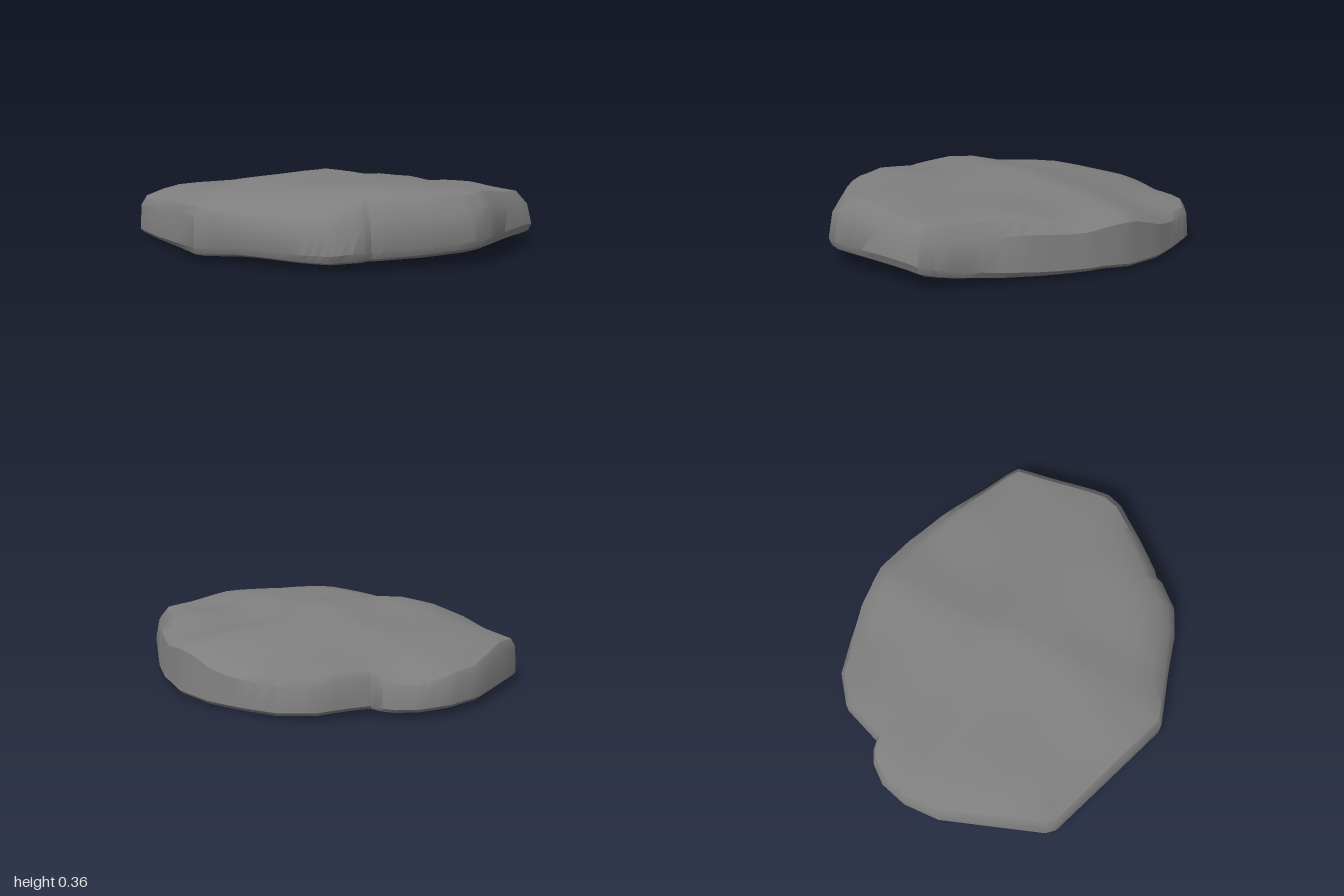
import * as THREE from 'three';
import { toCreasedNormals } from 'three/addons/utils/BufferGeometryUtils.js';

const { lerp, smoothstep, clamp } = THREE.MathUtils;

// Rim of the slab, clockwise from above: x, z
const RIM = [
  [0.08, -1], [0.23, -0.97], [0.32, -0.91], [0.35, -0.86], [0.36, -0.8], [0.6, -0.73],
  [0.72, -0.6], [0.78, -0.43], [0.84, -0.23], [0.86, 0], [0.82, 0.22], [0.74, 0.44],
  [0.63, 0.68], [0.55, 0.86], [0.51, 0.92], [0.25, 0.96], [-0.03, 1], [-0.12, 0.98],
  [-0.3, 0.86], [-0.46, 0.735], [-0.49, 0.7], [-0.53, 0.69], [-0.65, 0.6], [-0.71, 0.48],
  [-0.78, 0.25], [-0.87, -0.03], [-0.65, -0.73], [-0.61, -0.77], [-0.11, -0.98],
];
// Height profiles across the slab: [position, y]
const TOP_X = [[-0.87, 0.24], [-0.48, 0.345], [0.05, 0.345], [0.3, 0.295], [0.5, 0.285], [0.86, 0.225]];
const TOP_Z = [[-1, 0.155], [-0.8, 0.235], [-0.35, 0.29], [-0.05, 0.355], [0.2, 0.335], [0.5, 0.345], [1, 0.32]];
const LOW_Z = [[-1, 0.02], [-0.3, 0.015], [0, 0.015], [0.15, 0.03], [0.6, 0.025], [0.8, 0.04], [1, 0.07]];

// Reads a profile along straight runs
function linear(table, v) {
  const i = Math.max(1, table.findIndex(([p], k) => v <= p || k === table.length - 1));
  const [a, ya] = table[i - 1], [b, yb] = table[i];
  return lerp(ya, yb, clamp((v - a) / (b - a), 0, 1));
}
// The same with its corners eased
const lookup = (table, v) => (linear(table, v - 0.05) + 2 * linear(table, v) + linear(table, v + 0.05)) / 4;

// Gentle weathered undulation
const lumps = (x, z) => 0.005 * Math.sin(7 * x + 5 * z + 1) + 0.004 * Math.sin(11 * z - 6 * x);
// The top falls away towards the front right corner
const slump = (x, z) => 0.06 * smoothstep(0.6 * z - 0.8 * x, 0.6, 0.85);
const topY = (x, z) => lookup(TOP_X, x) + lookup(TOP_Z, z) - 0.345 + lumps(x, z) - slump(x, z);
const bottomY = (x, z) => lookup(LOW_Z, z) - 0.016 * smoothstep(x, 0.4, 0.8) + 0.3 * lumps(x, z);

// Side wall: foot and head heights, and the width of the upper bevel
const footY = (x, z) => bottomY(x, z) + 0.01 + 0.03 * smoothstep(z - 0.5 * x, -0.3, 0.7);
const headY = (x, z) => topY(x, z) - 0.03 - 0.03 * smoothstep(z, 0, 0.8);
const bevel = (x, z) => 0.03 + 0.05 * smoothstep(0.5 * x + z, -0.4, 0.6);

function inward(x, z, d) {
  const s = 1 - d / Math.hypot(x, z);
  return [x * s, z * s];
}

function slabGeometry() {
  // Subdivide the rim
  const rim = [], steps = 3;
  RIM.forEach(([x, z], i) => {
    const [qx, qz] = RIM[(i + 1) % RIM.length];
    for (let s = 0; s < steps; s++) rim.push([lerp(x, qx, s / steps), lerp(z, qz, s / steps)]);
  });
  const n = rim.length, pos = [], index = [];
  const addRing = (fn) => rim.forEach(([x, z]) => pos.push(...fn(x, z)));
  const inner = [0.02, 0.15, 0.3, 0.45, 0.6, 0.75, 0.87];

  // Underside, from the middle outward
  for (const s of inner) addRing((x, z) => [x * s, bottomY(x * s, z * s), z * s]);
  addRing((x, z) => {
    const [a, b] = inward(x, z, 0.06);
    return [a, bottomY(a, b), b];
  });
  // Side wall: lower bevel, foot, head
  addRing((x, z) => {
    const [a, b] = inward(x, z, 0.015);
    return [a, lerp(bottomY(a, b), footY(x, z), 0.4), b];
  });
  addRing((x, z) => [x, footY(x, z) + 0.01, z]);
  addRing((x, z) => {
    const [a, b] = inward(x, z, bevel(x, z) * 0.3);
    return [a, headY(x, z), b];
  });
  // Top, from the edge to the middle
  addRing((x, z) => {
    const [a, b] = inward(x, z, bevel(x, z));
    return [a, topY(a, b) - 0.005, b];
  });
  for (const s of [...inner].reverse()) addRing((x, z) => [x * s, topY(x * s, z * s), z * s]);

  // Skin between neighbouring rings
  const rings = pos.length / 3 / n;
  for (let r = 0; r < rings - 1; r++) {
    for (let k = 0; k < n; k++) {
      const a = r * n + k, b = r * n + (k + 1) % n;
      index.push(a, a + n, b, b, a + n, b + n);
    }
  }
  // Close both middles
  const low = pos.length / 3, high = low + 1, last = (rings - 1) * n;
  pos.push(0, bottomY(0, 0), 0, 0, topY(0, 0), 0);
  for (let k = 0; k < n; k++) {
    const m = (k + 1) % n;
    index.push(low, k, m, high, last + m, last + k);
  }
  const geo = new THREE.BufferGeometry();
  geo.setAttribute('position', new THREE.Float32BufferAttribute(pos, 3));
  geo.setIndex(index);
  return toCreasedNormals(geo, 0.6);
}

export function createModel() {
  const group = new THREE.Group();
  group.name = 'flatRock';
  const slab = new THREE.Mesh(slabGeometry(), new THREE.MeshStandardMaterial({ color: 0x7e7e7e }));
  slab.name = 'stoneSlab';
  // Rest the slab on the ground
  slab.geometry.computeBoundingBox();
  slab.position.y = -slab.geometry.boundingBox.min.y;
  group.add(slab);
  return group;
}
